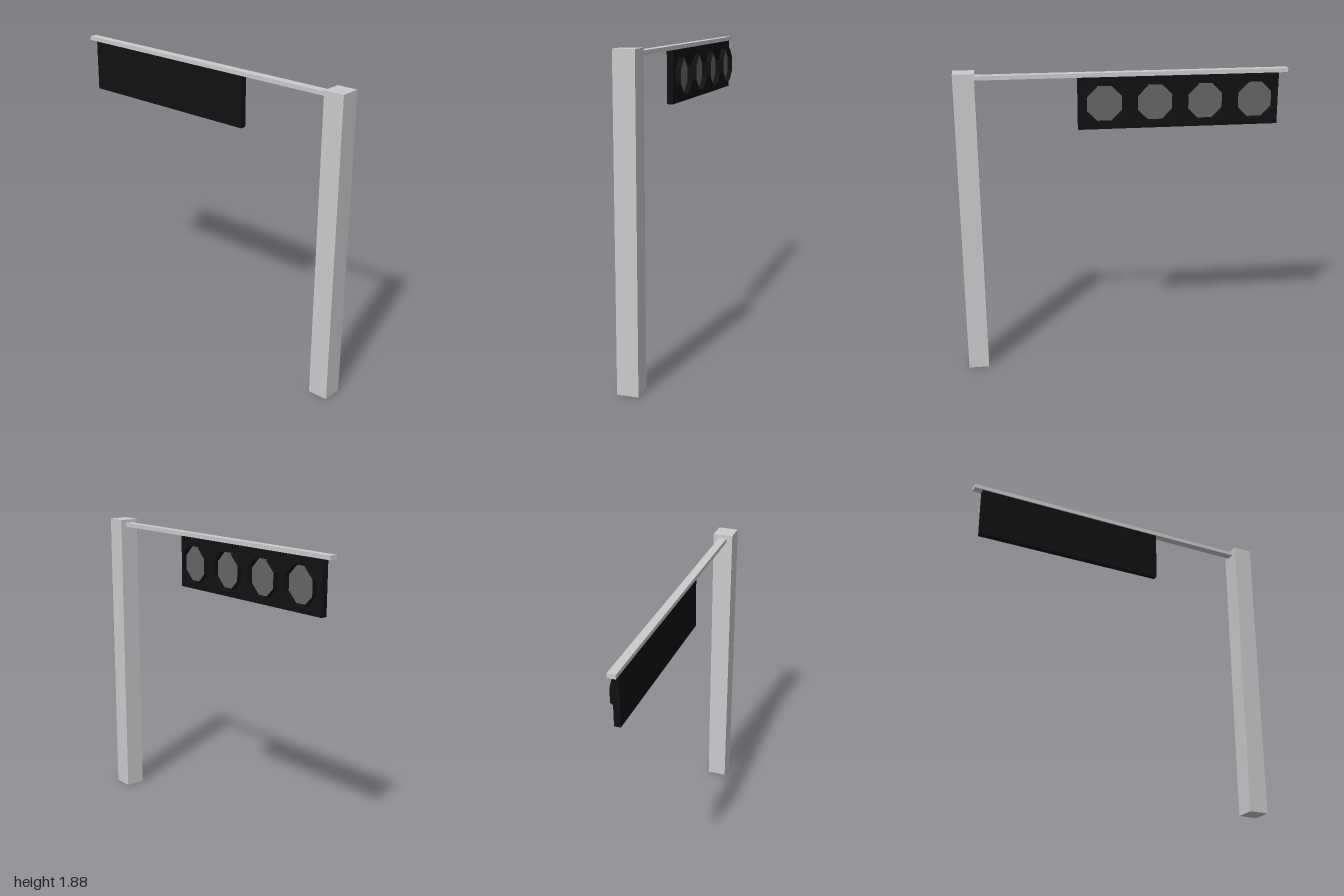
import * as THREE from 'three';

const grey = new THREE.MeshStandardMaterial({ color: 0xcccccc, flatShading: true });
const black = new THREE.MeshStandardMaterial({ color: 0x111111, flatShading: true });
const hood = new THREE.MeshStandardMaterial({ color: 0x111111, flatShading: true, side: THREE.DoubleSide });
const lensGrey = new THREE.MeshStandardMaterial({ color: 0x666666, flatShading: true });

// Box given by its min and max corners
function box(name, material, [x0, y0, z0], [x1, y1, z1]) {
  const mesh = new THREE.Mesh(new THREE.BoxGeometry(x1 - x0, y1 - y0, z1 - z0), material);
  mesh.position.set((x0 + x1) / 2, (y0 + y1) / 2, (z0 + z1) / 2);
  mesh.name = name;
  return mesh;
}

export function createModel() {
  const model = new THREE.Group();
  model.name = 'overheadSignal';

  // Square post, overhanging arm and hanging signal board
  model.add(
    box('post', grey, [0.875, 0, -0.0625], [1, 1.88, 0.0625]),
    box('arm', grey, [-1, 1.835, -0.025], [0.875, 1.86, 0.025]),
    box('signalBoard', black, [-0.945, 1.52, -0.02], [0.275, 1.835, 0.018])
  );

  // Four octagonal lamps on the back of the board, each with a hood open at the bottom
  const radius = 0.117, step = Math.PI / 4;
  for (let i = 0; i < 4; i++) {
    const lamp = new THREE.Group();
    lamp.name = 'lamp' + (i + 1);
    lamp.position.set(-0.797 + i * 0.305, 1.677, -0.02);

    const lens = new THREE.Mesh(new THREE.CylinderGeometry(radius - 0.004, radius - 0.004, 0.006, 8, 1, false, step / 2), lensGrey);
    lens.name = 'lens';
    lens.rotation.x = -Math.PI / 2;

    const visor = new THREE.Mesh(new THREE.CylinderGeometry(radius, radius, 0.034, 8 - 1, 1, true, step / 2, step * 7), hood);
    visor.name = 'visor';
    visor.rotation.x = -Math.PI / 2;
    visor.position.z = -0.017;

    lamp.add(lens, visor);
    model.add(lamp);
  }
  return model;
}
